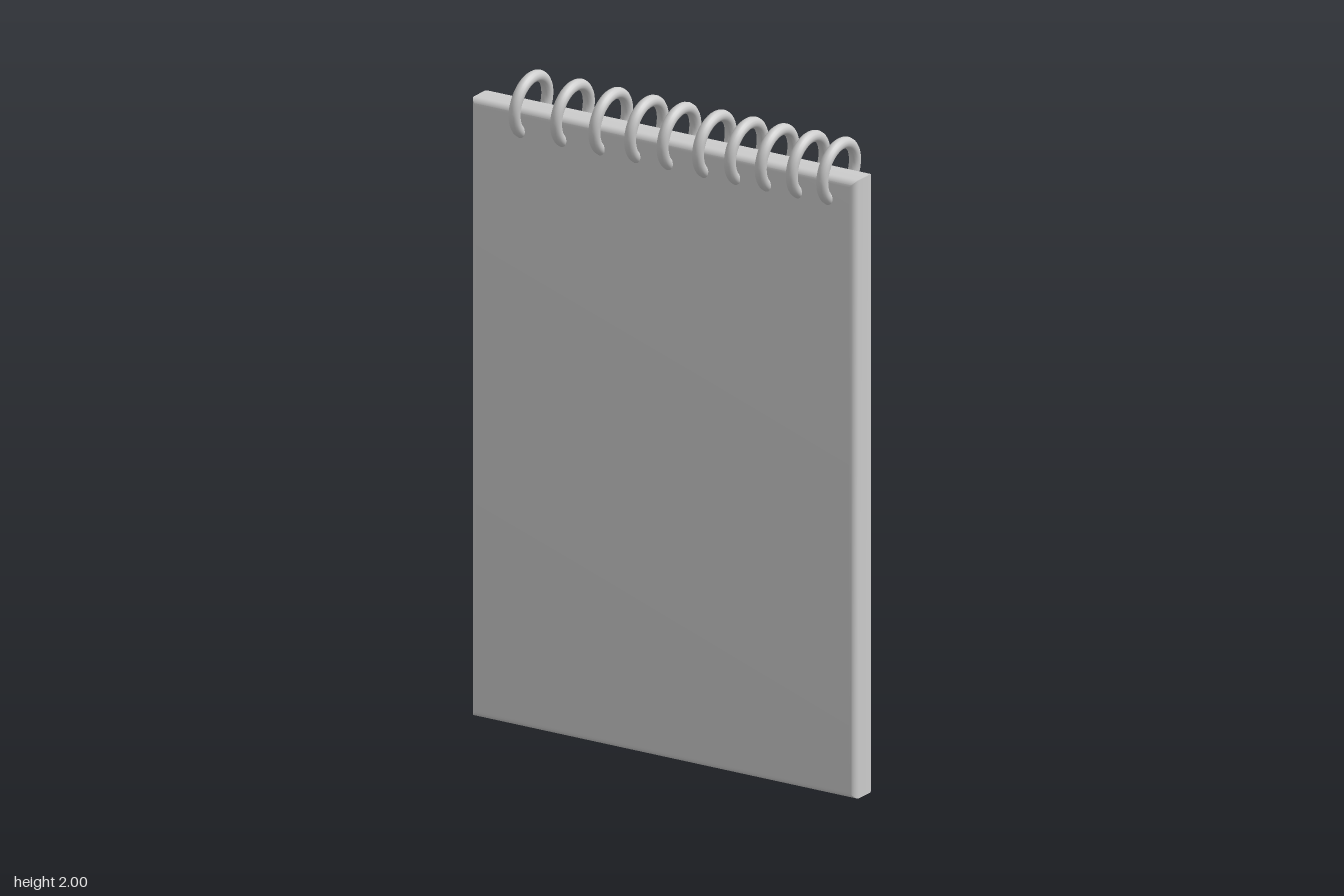
import * as THREE from 'three';
import { toCreasedNormals } from 'three/addons/utils/BufferGeometryUtils.js';

const material = new THREE.MeshStandardMaterial({ color: 0xcccccc });

// Slab with sharp outline corners and rounded front and back edges
function slab(name, [x0, x1], [y0, y1], [z0, z1], bevel) {
  const w = (x1 - x0) / 2 - bevel, h = (y1 - y0) / 2 - bevel;
  const outline = new THREE.Shape([
    new THREE.Vector2(-w, -h), new THREE.Vector2(w, -h),
    new THREE.Vector2(w, h), new THREE.Vector2(-w, h),
  ]);
  const geometry = new THREE.ExtrudeGeometry(outline, {
    depth: z1 - z0 - 2 * bevel,
    bevelSize: bevel, bevelThickness: bevel, bevelSegments: 4,
  });
  geometry.translate((x0 + x1) / 2, (y0 + y1) / 2, z0 + bevel);
  const mesh = new THREE.Mesh(toCreasedNormals(geometry, 0.6), material);
  mesh.name = name;
  return mesh;
}

export function createModel() {
  const notepad = new THREE.Group();
  notepad.name = 'notepad';

  // Thick body and the raised page on its back
  notepad.add(slab('body', [-0.663, 0.663], [0, 1.895], [-0.047, 0.054], 0.021));
  notepad.add(slab('page', [-0.585, 0.585], [0.105, 1.795], [-0.096, -0.04], 0.018));

  // Raised writing lines: half width and centre height
  const lines = new THREE.Group();
  lines.name = 'writingLines';
  for (const [half, y] of [[0.495, 1.597], [0.44, 1.427], [0.465, 1.262], [0.5, 1.118]]) {
    lines.add(slab('writingLine', [-half, half], [y - 0.037, y + 0.037], [-0.112, -0.08], 0.008));
  }
  notepad.add(lines);

  // Short line near the bottom corner
  notepad.add(slab('footerLine', [-0.55, -0.15], [0.148, 0.18], [-0.105, -0.085], 0.005));

  // Binding rings, all leaning slightly the same way
  const ringGeometry = new THREE.TorusGeometry(0.086, 0.0175, 14, 48).rotateY(Math.PI / 2);
  const rings = new THREE.Group();
  rings.name = 'bindingRings';
  for (const x of [-0.485, -0.342, -0.21, -0.087, 0.025, 0.147, 0.257, 0.363, 0.47, 0.575]) {
    const ring = new THREE.Mesh(ringGeometry, material);
    ring.name = 'bindingRing';
    ring.position.set(x, 1.897, 0.005);
    ring.rotation.z = -0.09;
    rings.add(ring);
  }
  notepad.add(rings);

  return notepad;
}
